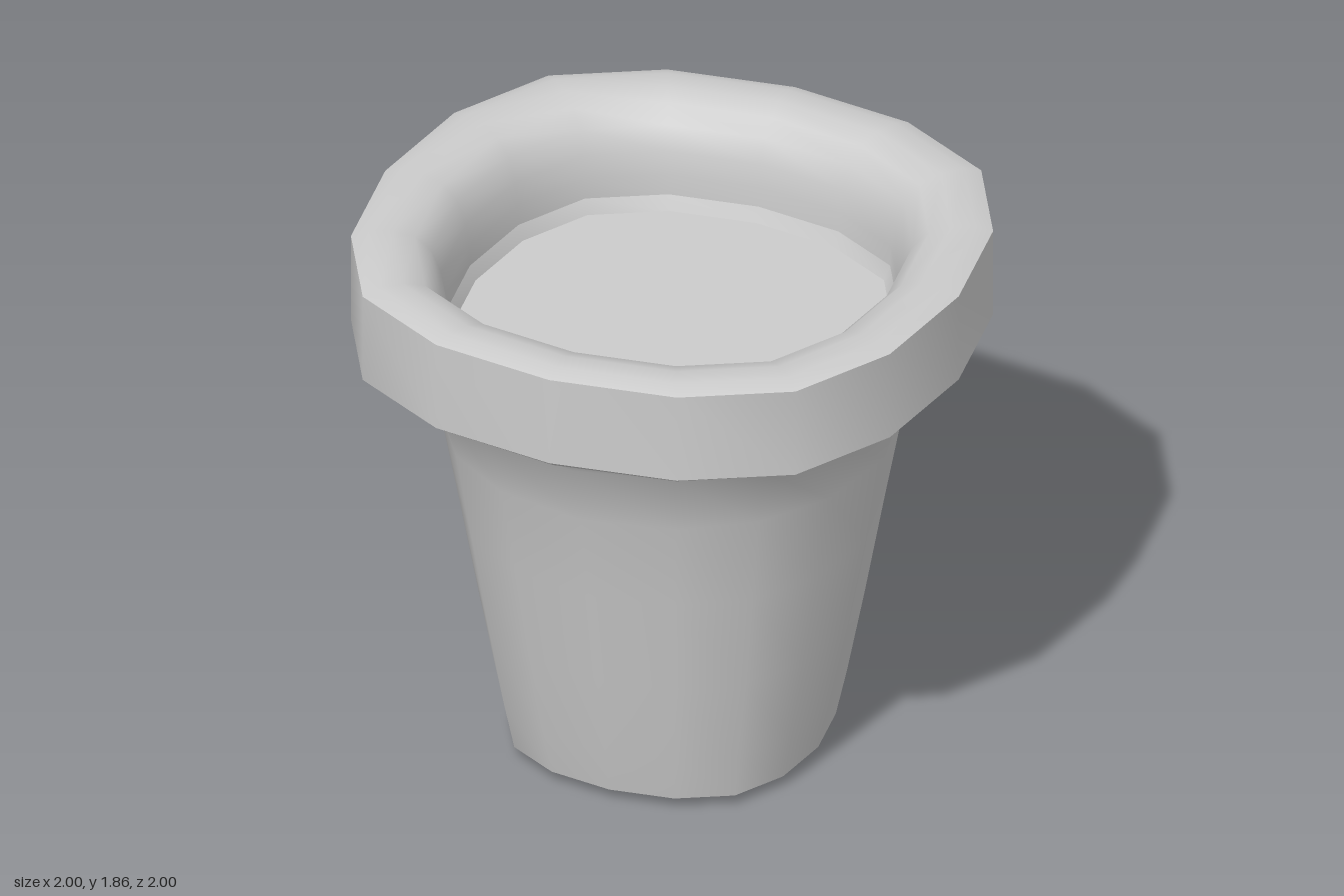
import * as THREE from 'three';
import { mergeVertices } from 'three/addons/utils/BufferGeometryUtils.js';

const SIDES = 16;
// Squarish 16-sided plan: one quarter of the outline, repeated around the axis
const QUARTER = [[0, 1], [0.42, 0.94], [0.755, 0.755], [0.94, 0.42]];

// Plan corner; roundness 0 keeps the squarish outline, 1 makes it a circle
function planPoint(index, roundness) {
  const i = index % SIDES;
  let [x, z] = QUARTER[i % 4];
  for (let q = 0; q < Math.floor(i / 4); q++) [x, z] = [z, -x];
  const k = 1 + roundness * (1 / Math.hypot(x, z) - 1);
  return [x * k, z * k];
}

// Sweep a [scale, height, roundness] profile around the plan, smooth inside each section
function sweep(name, profile, material) {
  const points = profile.map(([s, y]) => new THREE.Vector2(s, y));
  let geometry = new THREE.LatheGeometry(points, SIDES);
  const pos = geometry.attributes.position;
  for (let v = 0; v < pos.count; v++) {
    const [s, y, roundness = 0] = profile[v % profile.length];
    const [x, z] = planPoint(Math.floor(v / profile.length), roundness);
    pos.setXYZ(v, x * s, y, z * s);
  }
  geometry.deleteAttribute('normal');
  geometry.deleteAttribute('uv');
  geometry = mergeVertices(geometry, 1e-4);
  geometry.computeVertexNormals();
  const mesh = new THREE.Mesh(geometry, material);
  mesh.name = name;
  return mesh;
}

export function createModel() {
  const group = new THREE.Group();
  group.name = 'flowerPot';
  const clay = new THREE.MeshStandardMaterial({ color: 0xcccccc });

  // Slightly domed underside
  group.add(sweep('base', [[0, 0], [0.3, 0.003], [0.43, 0.01], [0.51, 0.04]], clay));

  // Tapered wall, rounder towards the top, flaring out under the rim
  group.add(sweep('body', [
    [0.51, 0.04], [0.547, 0.2, 0.15], [0.608, 0.5, 0.4], [0.675, 0.85, 0.65],
    [0.74, 1.17, 0.9], [0.805, 1.39, 0.95], [0.895, 1.48, 0.5], [0.97, 1.502, 0.15],
    [1, 1.525],
  ], clay));

  // Upright band of the rim
  group.add(sweep('rimBand', [[1, 1.525], [1, 1.835]], clay));

  // Broad, full lip rolling over into a steep inner wall
  group.add(sweep('lip', [
    [1, 1.835], [0.945, 1.855], [0.87, 1.853], [0.8, 1.83], [0.75, 1.78],
    [0.72, 1.7], [0.708, 1.62], [0.705, 1.55],
  ], clay));

  // Narrow step down to the soil, then the soil itself
  group.add(sweep('innerStep', [[0.705, 1.55], [0.685, 1.5]], clay));
  group.add(sweep('soil', [[0.685, 1.5], [0.35, 1.502], [0, 1.502]], clay));

  return group;
}
